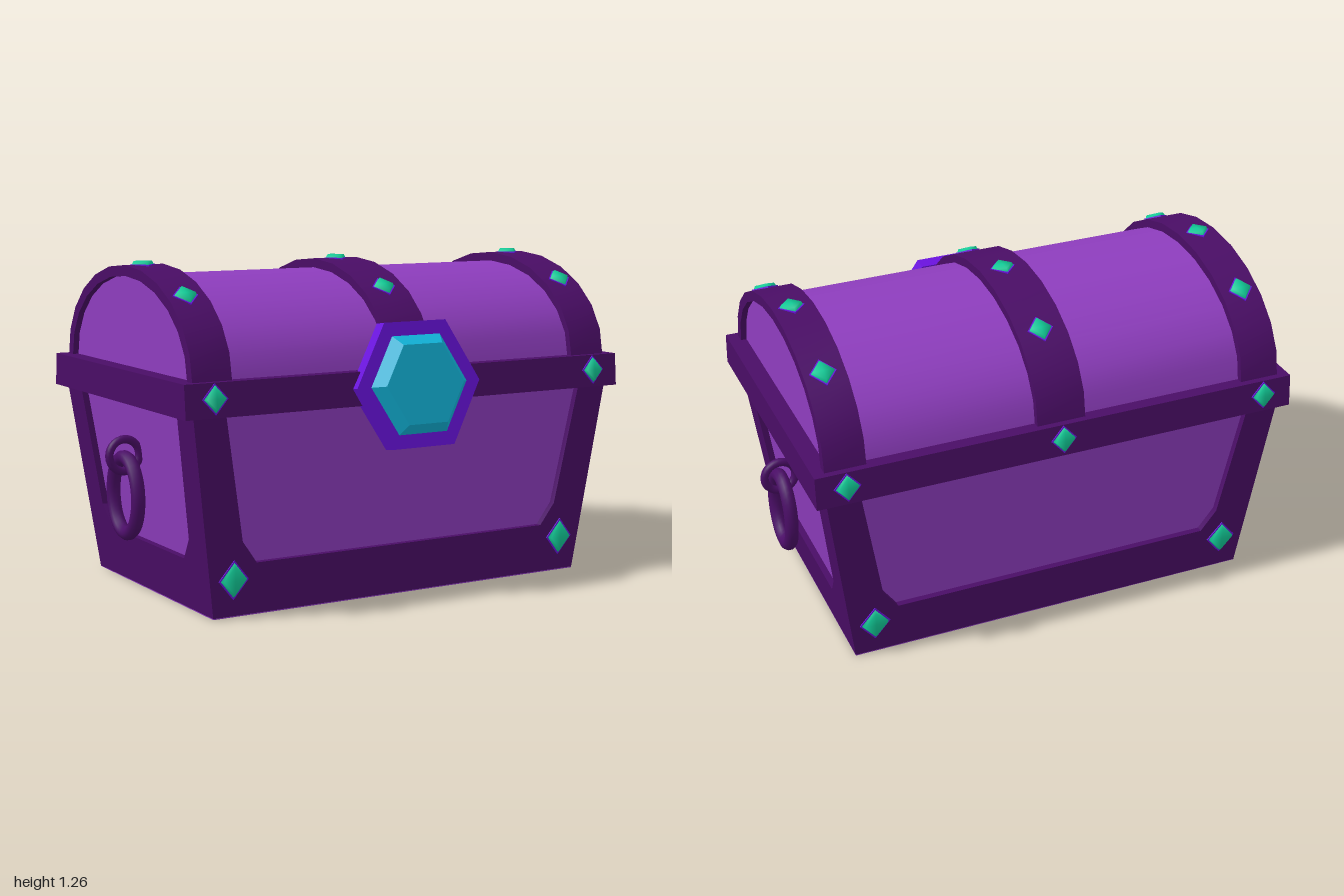
import * as THREE from 'three';
import { toCreasedNormals } from 'three/addons/utils/BufferGeometryUtils.js';

const mat = (name, color) => {
  const m = new THREE.MeshStandardMaterial({ color });
  m.name = name;
  return m;
};

export function createModel() {
  const panel = mat('purplePanel', 0x8e3dbe);
  const trim = mat('darkTrim', 0x4a0d66);
  const green = mat('greenGem', 0x12cc98);
  const violet = mat('violetSetting', 0x6a12de);
  const cyan = mat('cyanJewel', 0x12b6dc);

  const model = new THREE.Group();
  model.name = 'treasureChest';
  const chest = new THREE.Group();
  chest.name = 'chest';
  chest.position.z = -0.043;
  model.add(chest);

  const add = (name, geo, material, parent = chest) => {
    const mesh = new THREE.Mesh(geo, material);
    mesh.name = name;
    parent.add(mesh);
    return mesh;
  };
  const crease = (geo, angle = 0.5) => toCreasedNormals(geo, angle);

  // Body half sizes grow with height
  const halfX = (y) => 0.81 + 0.1 * y / 0.745;
  const halfZ = (y) => 0.5 + 0.06 * y / 0.745;

  // Box whose half sizes follow rules of height
  const taperedBox = (y0, y1, hx, hz) => {
    const geo = new THREE.BoxGeometry(2, y1 - y0, 2).translate(0, (y0 + y1) / 2, 0);
    const p = geo.attributes.position;
    for (let i = 0; i < p.count; i++) {
      const y = p.getY(i);
      p.setX(i, p.getX(i) * hx(y));
      p.setZ(i, p.getZ(i) * hz(y));
    }
    return crease(geo);
  };

  // Body, recessed behind its frames, and the base plate
  const inset = 0.025;
  add('bodyPanels', taperedBox(0.01, 0.78, (y) => halfX(y) - inset, (y) => halfZ(y) - inset), panel);
  add('basePlate', taperedBox(0, 0.004, halfX, halfZ), panel);

  // U-shaped frame leaning with the wall; inner = [top, corner, bottom] half widths
  const frame = (half, out, inner) => {
    const top = 0.77;
    const right = [[half(0.002), 0.002], [half(top), top], [inner[0], top], [inner[1], 0.28], [inner[2], 0.195]];
    const left = right.map(([x, y]) => [-x, y]).reverse();
    const shape = new THREE.Shape([...right, ...left].map(([x, y]) => new THREE.Vector2(x, y)));
    const geo = new THREE.ExtrudeGeometry(shape, { depth: inset + 0.01, bevelEnabled: false });
    const p = geo.attributes.position;
    for (let i = 0; i < p.count; i++) p.setZ(i, p.getZ(i) + out(p.getY(i)) - inset - 0.01);
    return crease(geo);
  };
  for (let i = 0; i < 4; i++) {
    const geo = i % 2 ? frame(halfZ, halfX, [0.43, 0.385, 0.32]) : frame(halfX, halfZ, [0.785, 0.7, 0.64]);
    add(['frontFrame', 'leftFrame', 'backFrame', 'rightFrame'][i], geo, trim).rotation.y = i * Math.PI / 2;
  }

  // Rim
  add('rim', taperedBox(0.745, 0.87, () => 0.952, (y) => 0.585 - 0.08 * (y - 0.745)), trim);

  // Lid and its straps: half ellipses extruded along x
  const lidY = 0.868;
  const arch = (a, b, x0, x1, hole) => {
    const pts = (ra, rb) => Array.from({ length: 13 }, (_, i) => {
      const t = i * Math.PI / 12;
      return new THREE.Vector2(ra * Math.cos(t), rb * Math.sin(t));
    });
    const outline = pts(a, b);
    if (hole) outline.push(...pts(a - hole, b - hole).reverse());
    const geo = new THREE.ExtrudeGeometry(new THREE.Shape(outline), { depth: x1 - x0, bevelEnabled: false });
    geo.rotateY(Math.PI / 2).translate(x0, lidY, 0);
    return crease(geo);
  };
  const A = 0.55, B = 0.382;
  add('lid', arch(A - 0.025, B - 0.035, -0.885, 0.885), panel);
  for (const [x, w] of [[-0.83, 0.078], [-0.003, 0.096], [0.83, 0.078]]) {
    add('lidStrap', arch(A, B, x - w, x + w, 0.04), trim);
  }

  // Faceted diamond gem on a thin violet backing
  const Z = new THREE.Vector3(0, 0, 1);
  const gemGeo = crease(new THREE.CylinderGeometry(0.8, 1, 0.016, 4).rotateX(Math.PI / 2).translate(0, 0, 0.008));
  const backGeo = crease(new THREE.CylinderGeometry(1.08, 1.08, 0.008, 4).rotateX(Math.PI / 2));
  const gem = (x, y, z, normal, w, h) => {
    const g = new THREE.Group();
    g.name = 'gem';
    g.position.set(x, y, z);
    g.quaternion.setFromUnitVectors(Z, normal.normalize());
    g.scale.set(w, h, 1);
    add('gemBacking', backGeo, violet, g);
    add('gemStone', gemGeo, green, g);
    chest.add(g);
  };
  for (const x of [-0.835, 0, 0.835]) {
    for (const z of [-0.355, 0, 0.355]) {
      const y = B * Math.sqrt(1 - (z / A) ** 2);
      gem(x, lidY + y - 0.003, z, new THREE.Vector3(0, y / B ** 2, z / A ** 2), 0.047, 0.05);
    }
    for (const s of [-1, 1]) {
      if (x === 0 && s === 1) continue;
      gem(x, 0.812, s * 0.58, new THREE.Vector3(0, 0.08, s), 0.047, 0.052);
      if (x) gem(Math.sign(x) * 0.733, 0.14, s * halfZ(0.14), new THREE.Vector3(0, -0.08, s), 0.056, 0.069);
    }
  }

  // Hexagonal clasp leaning back against the lid
  const clasp = new THREE.Group();
  clasp.name = 'clasp';
  clasp.position.set(-0.002, 0.81, 0.585);
  clasp.rotation.x = -0.145;
  chest.add(clasp);
  const hex = (r0, r1, depth, z) =>
    crease(new THREE.CylinderGeometry(r1, r0, depth, 6).rotateY(Math.PI / 6).rotateX(Math.PI / 2).translate(0, 0, z));
  add('claspPlate', hex(0.27, 0.27, 0.052, 0), violet, clasp);
  add('claspJewel', hex(0.212, 0.17, 0.045, 0.047), cyan, clasp);

  // Ring handles
  const oval = new THREE.CatmullRomCurve3(Array.from({ length: 16 }, (_, i) => {
    const t = i * Math.PI / 8;
    return new THREE.Vector3(0, 0.145 * Math.sin(t), 0.112 * Math.cos(t));
  }), true);
  for (const s of [-1, 1]) {
    add('handleLoop', new THREE.TorusGeometry(0.061, 0.016, 10, 28), trim).position.set(s * 0.923, 0.538, 0);
    add('handleRing', new THREE.TubeGeometry(oval, 40, 0.027, 10, true), trim).position.set(s * 0.92, 0.385, 0);
  }
  return model;
}
